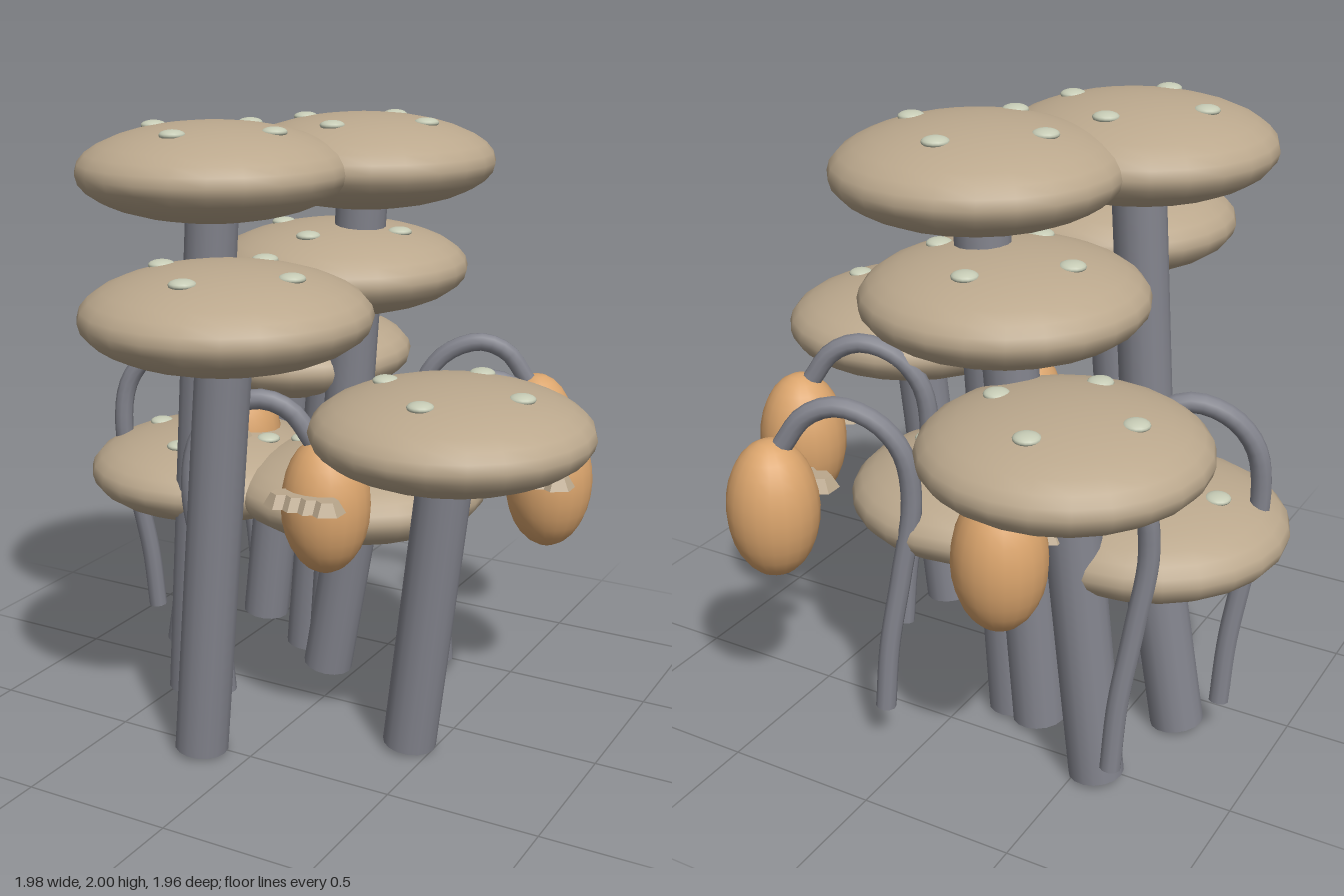
import * as THREE from 'three';

const mat = (name, color) => {
  const m = new THREE.MeshStandardMaterial({ color });
  m.name = name;
  return m;
};

export function createModel() {
  const beige = mat('beige', 0xbba88d);
  const grey = mat('grey', 0x82838c);
  const orange = mat('orange', 0xdba56d);
  const pale = mat('pale green', 0xc6cbb5);
  const beigeFlat = beige;

  const model = new THREE.Group();
  model.name = 'mushroomCluster';

  const add = (parent, name, geo, material, x = 0, y = 0, z = 0) => {
    const m = new THREE.Mesh(geo, material);
    m.name = name;
    m.position.set(x, y, z);
    parent.add(m);
    return m;
  };

  // Shared shapes
  const R = 0.445, H = 0.157;
  const capGeo = new THREE.SphereGeometry(1, 24, 16).scale(R, H, R);
  const spotGeo = new THREE.SphereGeometry(1, 16, 10).scale(0.042, 0.017, 0.042);
  const podGeo = new THREE.SphereGeometry(1, 20, 14).scale(0.146, 0.23, 0.146);
  const toothGeo = new THREE.CylinderGeometry(0.035, 0.06, 0.042, 6).toNonIndexed();
  toothGeo.computeVertexNormals();

  // Leaning mushroom: stem, flattened cap and four spots
  const mushroom = (x, y, z) => {
    const g = new THREE.Group();
    g.name = 'mushroom';
    model.add(g);
    const foot = new THREE.Vector3(x - 0.125, 0.013, z);
    const head = new THREE.Vector3(x, y, z);
    const dir = head.clone().sub(foot);
    const stem = add(g, 'stem', new THREE.CylinderGeometry(0.088, 0.088, dir.length(), 16), grey);
    stem.position.copy(foot).add(head).multiplyScalar(0.5);
    stem.quaternion.setFromUnitVectors(new THREE.Vector3(0, 1, 0), dir.normalize());
    add(g, 'cap', capGeo, beige, x, y, z);
    const d = 0.228, h = H * Math.sqrt(1 - (d / R) ** 2);
    for (let i = 0; i < 4; i++) {
      const a = i * Math.PI / 2;
      add(g, 'spot', spotGeo, pale, x + d * Math.cos(a), y + h - 0.002, z + d * Math.sin(a));
    }
  };
  [
    [-0.315, 1.843, 0.165], [-0.03, 1.843, -0.335],
    [-0.04, 1.47, 0.535], [-0.135, 1.47, -0.36],
    [0.545, 1.1, 0.18], [-0.435, 1.1, -0.535],
    [-0.545, 0.727, -0.16], [0.018, 0.727, -0.22],
  ].forEach((p) => mushroom(...p));

  // Bent stalk, relative to the pod it carries
  const path = new THREE.CatmullRomCurve3([
    [-0.325, 0.13, 0.1], [-0.335, 0.35, 0.12], [-0.365, 0.6, 0.155],
    [-0.393, 0.85, 0.183], [-0.373, 1.02, 0.168], [-0.3, 1.12, 0.135],
    [-0.19, 1.162, 0.09], [-0.1, 1.125, 0.05], [-0.03, 1.02, 0.02],
  ].map((p) => new THREE.Vector3(...p)));
  const stalkGeo = new THREE.TubeGeometry(path, 36, 0.033, 10);
  const endGeo = new THREE.CircleGeometry(0.033, 10).rotateX(Math.PI / 2);

  // Hanging pod with a row of blunt teeth on its front
  const hangingPod = (x, z) => {
    const g = new THREE.Group();
    g.name = 'hangingPod';
    g.position.set(x, 0, z);
    model.add(g);
    add(g, 'stalk', stalkGeo, grey);
    add(g, 'stalkEnd', endGeo, grey, -0.325, 0.131, 0.1);
    add(g, 'pod', podGeo, orange, 0, 0.815, 0);
    for (let i = 0; i < 4; i++) {
      add(g, 'tooth', toothGeo, beigeFlat, (i - 1.5) * 0.054, 0.864, 0.14);
    }
  };
  [[0.14, 0.245], [0.675, -0.335], [0.442, -0.805], [-0.485, -0.25], [-0.335, -0.745]]
    .forEach((p) => hangingPod(...p));

  return model;
}
